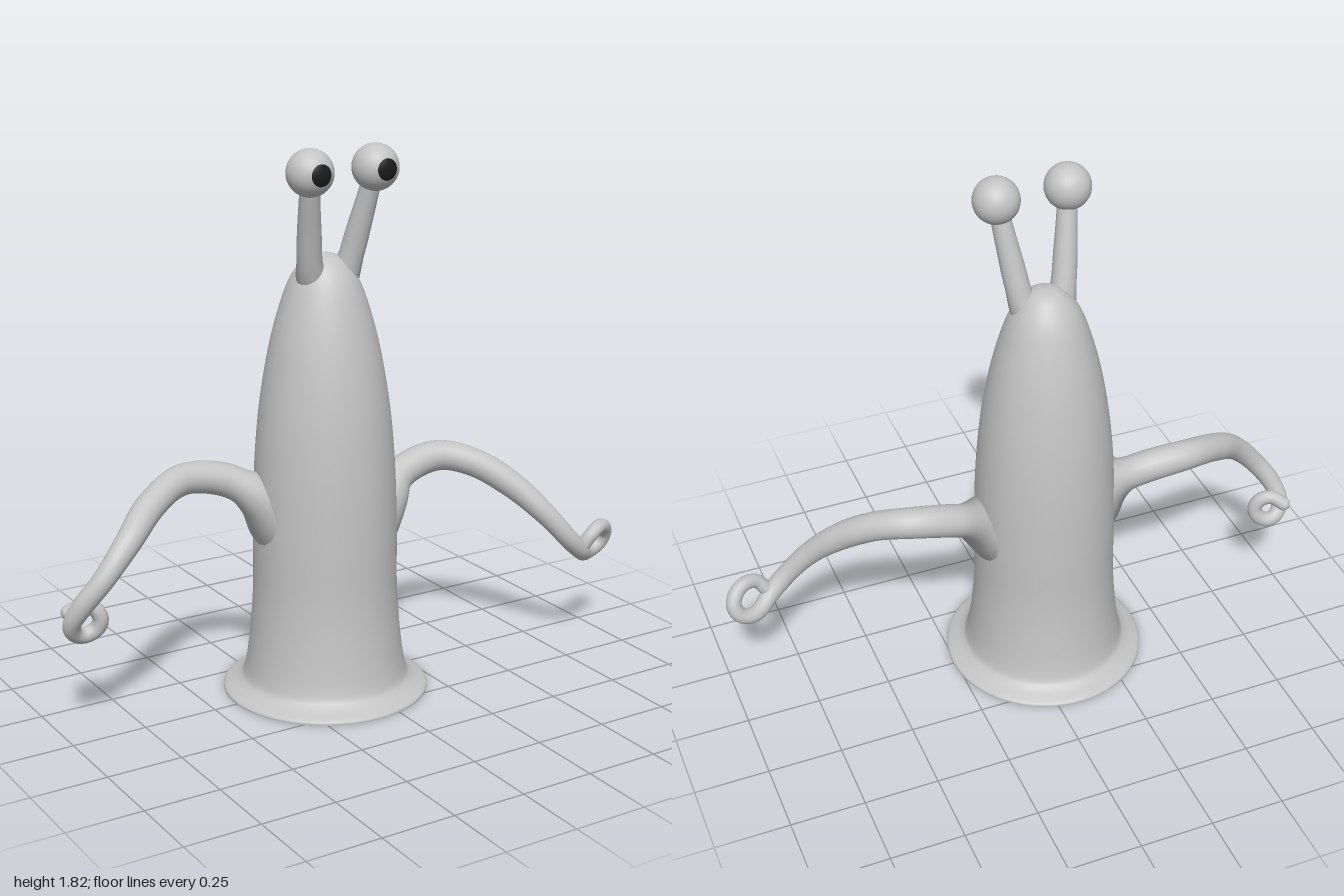
import * as THREE from 'three';

const V = (a) => new THREE.Vector3(...a);

// Tube along a smooth curve whose radius follows [t, radius] stops
function taperedTube(points, stops, segments, sides = 20) {
  const curve = new THREE.CatmullRomCurve3(points.map(V), false, 'centripetal');
  const geo = new THREE.TubeGeometry(curve, segments, 1, sides, false);
  const pos = geo.attributes.position;
  const radiusAt = (t) => {
    let i = 1;
    while (i < stops.length - 1 && t > stops[i][0]) i++;
    const [t0, r0] = stops[i - 1], [t1, r1] = stops[i];
    return THREE.MathUtils.lerp(r0, r1, THREE.MathUtils.smoothstep(t, t0, t1));
  };
  const p = new THREE.Vector3();
  for (let i = 0; i <= segments; i++) {
    const t = i / segments, c = curve.getPointAt(t), r = radiusAt(t);
    for (let j = 0; j <= sides; j++) {
      const k = i * (sides + 1) + j;
      p.fromBufferAttribute(pos, k).sub(c).multiplyScalar(r).add(c);
      pos.setXYZ(k, p.x, p.y, p.z);
    }
  }
  return geo;
}

export function createModel() {
  const model = new THREE.Group();
  model.name = 'stalkEyedCreature';

  const skin = new THREE.MeshStandardMaterial({ color: 0xc4c4c4 });
  skin.name = 'pale grey skin';
  const black = new THREE.MeshStandardMaterial({ color: 0x1c1c1c });
  black.name = 'pupil black';

  const add = (name, geo, mat, at = [0, 0, 0], parent = model) => {
    const mesh = new THREE.Mesh(geo, mat);
    mesh.name = name;
    mesh.position.set(...at);
    parent.add(mesh);
    return mesh;
  };

  // Body: bullet shape with a flared foot
  const bodyX = -0.08;
  const profile = new THREE.SplineCurve([
    [0.34, 0], [0.335, 0.012], [0.29, 0.035], [0.268, 0.07], [0.25, 0.19], [0.238, 0.35],
    [0.236, 0.55], [0.23, 0.75], [0.216, 0.93], [0.193, 1.09], [0.163, 1.23],
    [0.122, 1.36], [0.085, 1.425], [0.045, 1.46], [0, 1.47],
  ].map(([r, y]) => new THREE.Vector2(r, y))).getPoints(80);
  profile.forEach((p) => { p.x = Math.max(p.x, 0); });
  const body = add('body', new THREE.LatheGeometry(profile, 64), skin, [bodyX, 0, 0]);
  body.scale.z = 1.01;
  const sole = add('sole', new THREE.CircleGeometry(0.34, 64), skin, [bodyX, 0, 0]);
  sole.rotation.x = Math.PI / 2;

  // Arms: swept tentacles that end in a curled loop
  const arms = {
    rightArm: [
      [-0.22, 0.61, -0.02], [-0.3, 0.685, -0.05], [-0.4, 0.745, -0.095], [-0.54, 0.765, -0.11],
      [-0.68, 0.72, -0.055], [-0.8, 0.635, 0.015], [-0.89, 0.54, 0.03], [-0.955, 0.45, 0.0],
      [-0.974, 0.385, -0.035], [-0.955, 0.347, -0.055], [-0.92, 0.334, -0.06],
      [-0.885, 0.35, -0.05], [-0.873, 0.385, -0.04], [-0.89, 0.42, -0.045],
      [-0.925, 0.432, -0.06], [-0.962, 0.41, -0.085],
    ],
    leftArm: [
      [0.07, 0.56, 0.0], [0.16, 0.62, -0.01], [0.26, 0.68, -0.045], [0.4, 0.71, -0.04],
      [0.51, 0.68, 0.025], [0.61, 0.605, 0.105], [0.7, 0.505, 0.175], [0.78, 0.41, 0.205],
      [0.84, 0.355, 0.195], [0.875, 0.331, 0.17], [0.915, 0.325, 0.15],
      [0.957, 0.343, 0.148], [0.972, 0.38, 0.16], [0.953, 0.415, 0.18],
      [0.915, 0.428, 0.2], [0.875, 0.412, 0.212], [0.85, 0.38, 0.205],
    ],
  };
  const armStops = [[0, 0.125], [0.15, 0.055], [0.4, 0.048], [0.68, 0.034], [0.82, 0.027], [1, 0.024]];
  for (const [name, path] of Object.entries(arms)) {
    add(name, taperedTube(path, armStops, 120), skin);
    add(name + 'Tip', new THREE.SphereGeometry(0.024, 16, 12), skin, path[path.length - 1]);
  }

  // Eyes on stalks, with a thin pupil cap facing forward
  for (const side of [-1, 1]) {
    const eye = new THREE.Group();
    eye.name = side < 0 ? 'rightEye' : 'leftEye';
    model.add(eye);
    const x = (d) => bodyX + side * d;
    const centre = [x(0.118), 1.745, 0.115];
    const stalk = [[x(0.045), 1.36, 0.015], [x(0.07), 1.43, 0.032], [x(0.092), 1.56, 0.065], centre];
    add('eyeStalk', taperedTube(stalk, [[0, 0.055], [0.3, 0.04], [1, 0.031]], 30), skin, [0, 0, 0], eye);
    add('eyeball', new THREE.SphereGeometry(0.075, 40, 28), skin, centre, eye);
    const cap = new THREE.SphereGeometry(0.0765, 32, 8, 0, Math.PI * 2, 0, 0.47);
    cap.rotateX(Math.PI / 2);
    add('pupil', cap, black, centre, eye);
  }

  // Soft bridge between the stalk roots
  const bridge = add('brow', new THREE.SphereGeometry(0.06, 24, 16), skin, [bodyX, 1.412, 0.015]);
  bridge.scale.set(1.3, 0.9, 0.95);

  return model;
}
